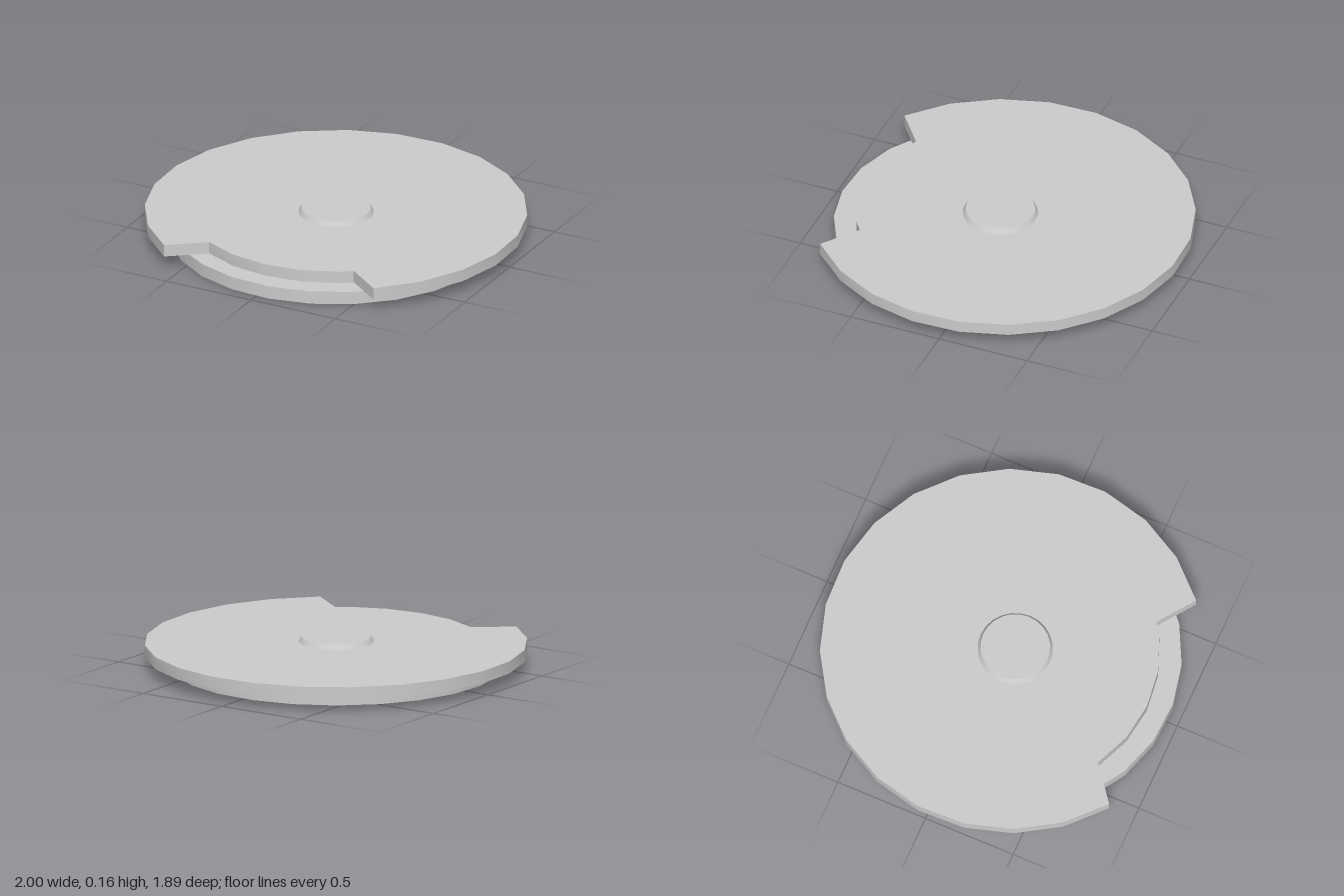
import * as THREE from 'three';
import { toCreasedNormals } from 'three/addons/utils/BufferGeometryUtils.js';

const material = new THREE.MeshStandardMaterial({ color: 0xcccccc });
const STEP = 15; // every rim is a 24-sided circle

function addPart(group, name, geometry, x, y, z) {
  const mesh = new THREE.Mesh(geometry, material);
  mesh.name = name;
  mesh.position.set(x, y, z);
  group.add(mesh);
}

// Point on a circle, angle in degrees from +x towards +z
function polar(radius, degrees) {
  const a = THREE.MathUtils.degToRad(degrees);
  return new THREE.Vector2(radius * Math.cos(a), radius * Math.sin(a));
}

// Plate outline: long outer arc, then back along the shallow front notch
function notchedPlate(depth) {
  const start = 50.7, outer = 1.003, inner = 0.777;
  const points = [];
  for (let k = 0; k < 20; k++) points.push(polar(outer, start - k * STEP));
  for (let k = 0; k < 5; k++) points.push(polar(inner, start + 70 - k * STEP));
  points.push(polar(0.771, 55.1));
  const geometry = new THREE.ExtrudeGeometry(new THREE.Shape(points), { depth, bevelEnabled: false });
  geometry.rotateX(Math.PI / 2); // extrudes downwards
  return toCreasedNormals(geometry, 0.45);
}

export function createModel() {
  const group = new THREE.Group();
  group.name = 'notchedDisc';

  // Lower round disc
  addPart(group, 'lowerDisc',
    new THREE.CylinderGeometry(0.87, 0.87, 0.07, 24, 1, false, 0.077), 0.01, 0.035, 0.073);

  // Upper plate with the front notch
  addPart(group, 'notchedPlate', notchedPlate(0.065), 0, 0.135, 0.053);

  // Low tapered hub
  addPart(group, 'hub',
    new THREE.CylinderGeometry(0.182, 0.198, 0.027, 24), 0.01, 0.1475, 0.07);

  return group;
}
